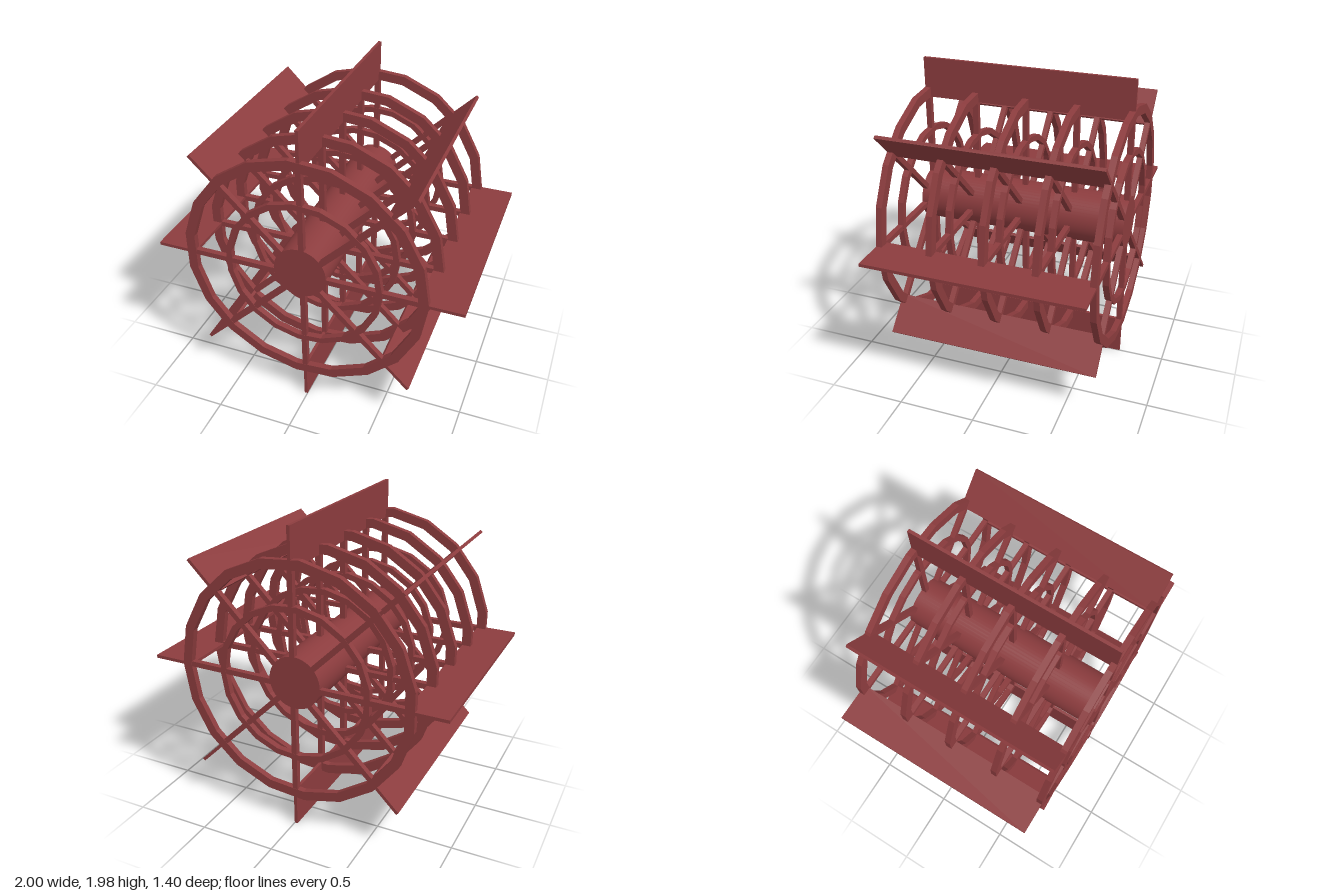
import * as THREE from 'three';

const CX = -0.01, CY = 0.994; // wheel axis
const HALF = 0.7;             // half length along z
const SIDES = 19;

// Flat polygonal hoop, centred on z = 0
function hoopGeometry(outer, inner, depth) {
  const corners = (r) => Array.from({ length: SIDES }, (_, i) => {
    const a = (i / SIDES) * Math.PI * 2;
    return new THREE.Vector2(Math.cos(a) * r, Math.sin(a) * r);
  });
  const shape = new THREE.Shape(corners(outer));
  shape.holes.push(new THREE.Path(corners(inner)));
  return new THREE.ExtrudeGeometry(shape, { depth, bevelEnabled: false })
    .translate(0, 0, -depth / 2);
}

export function createModel() {
  const model = new THREE.Group();
  model.name = 'paddleWheel';
  const redWood = new THREE.MeshStandardMaterial({ color: 0x8c3c3e });
  redWood.name = 'dark red';

  const add = (parent, name, geometry) => {
    const mesh = new THREE.Mesh(geometry, redWood);
    mesh.name = name;
    parent.add(mesh);
    return mesh;
  };

  // Central drum, slightly off the wheel axis
  const hub = add(model, 'hub', new THREE.CylinderGeometry(0.171, 0.171, HALF * 2, 48));
  hub.rotation.x = Math.PI / 2;
  hub.position.set(-0.024, 1.018, 0);

  // Five frames, each with two hoops and eight spokes
  const depth = 0.04;
  const outerHoop = hoopGeometry(0.797, 0.735, depth);
  const innerHoop = hoopGeometry(0.514, 0.476, depth);
  const spoke = new THREE.BoxGeometry(0.65, 0.035, 0.036).translate(0.425, 0, 0);
  [0.682, 0.346, 0.004, -0.334, -0.682].forEach((z) => {
    const frame = new THREE.Group();
    frame.name = 'wheelFrame';
    frame.position.set(CX, CY, z);
    add(frame, 'outerHoop', outerHoop);
    add(frame, 'innerHoop', innerHoop);
    for (let i = 0; i < 8; i++) {
      add(frame, 'spoke', spoke).rotation.z = (i * Math.PI) / 4;
    }
    model.add(frame);
  });

  // Eight full-length paddle boards reaching past the outer hoops
  for (let i = 0; i < 8; i++) {
    const inner = 0.728;
    const outer = i === 0 ? 1.01 : 0.99;
    const paddle = add(model, 'paddle', new THREE.BoxGeometry(outer - inner, 0.021, HALF * 2)
      .translate((outer + inner) / 2, 0, 0));
    paddle.rotation.z = (i * Math.PI) / 4;
    paddle.position.set(CX, 0.992, 0);
  }

  return model;
}
